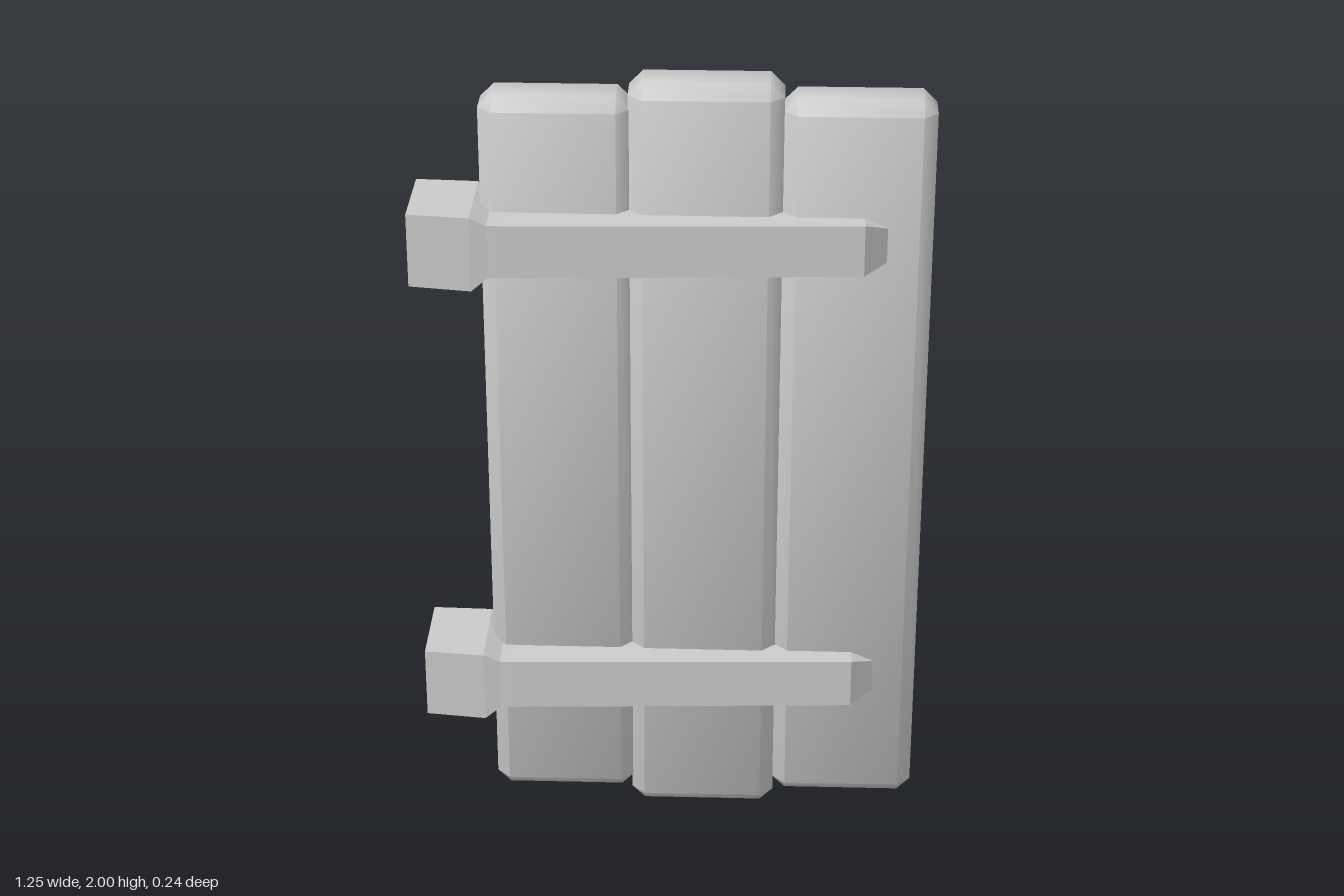
import * as THREE from 'three';
import { toCreasedNormals } from 'three/addons/utils/BufferGeometryUtils.js';
import { ConvexGeometry } from 'three/addons/geometries/ConvexGeometry.js';

// Box with 45 degree chamfers on every edge, given by its min and max corners
function chamferedBox(min, max, c) {
  const points = [];
  for (let corner = 0; corner < 8; corner++) {
    for (let face = 0; face < 3; face++) {
      const p = [0, 1, 2].map((axis) => {
        const inset = axis === face ? 0 : c;
        return (corner >> axis) & 1 ? max[axis] - inset : min[axis] + inset;
      });
      points.push(new THREE.Vector3(...p));
    }
  }
  return toCreasedNormals(new ConvexGeometry(points), 0.9);
}

// Loft along x through rectangles [x, yLow, yHigh, zBack, zFront]
function loftX(sections) {
  const positions = [];
  const index = [];
  const n = sections.length;
  for (const [x, y0, y1, z0, z1] of sections) {
    positions.push(x, y0, z1, x, y1, z1, x, y1, z0, x, y0, z0);
  }
  for (let i = 0; i < n - 1; i++) {
    for (let k = 0; k < 4; k++) {
      const a = i * 4 + k, b = i * 4 + ((k + 1) % 4);
      index.push(a, a + 4, b + 4, a, b + 4, b);
    }
  }
  const e = (n - 1) * 4;
  index.push(0, 1, 2, 0, 2, 3, e, e + 2, e + 1, e, e + 3, e + 2);
  const indexed = new THREE.BufferGeometry();
  indexed.setAttribute('position', new THREE.Float32BufferAttribute(positions, 3));
  indexed.setIndex(index);
  const geometry = indexed.toNonIndexed();
  geometry.computeVertexNormals();
  return geometry;
}

export function createModel() {
  const model = new THREE.Group();
  model.name = 'shutter';
  const grey = new THREE.MeshStandardMaterial({ color: 0xcccccc });
  grey.name = 'plain grey';

  const add = (name, geometry, y = 0) => {
    const mesh = new THREE.Mesh(geometry, grey);
    mesh.name = name;
    mesh.position.y = y;
    model.add(mesh);
  };

  // Three upright boards, the middle one longer and thicker
  add('rightPlank', chamferedBox([-0.46, 0.04, -0.118], [-0.098, 1.965, 0.028], 0.034));
  add('middlePlank', chamferedBox([-0.105, 0, -0.124], [0.265, 2, 0.03], 0.034));
  add('leftPlank', chamferedBox([0.262, 0.04, -0.118], [0.625, 1.965, 0.028], 0.034));

  // Hinge: square knuckle narrowing to a tapering strap across the boards
  const hinge = loftX([
    [-0.625, -0.095, 0.09, -0.112, 0.112],
    [-0.475, -0.103, 0.085, -0.116, 0.118],
    [-0.435, -0.07, 0.065, -0.105, 0.114],
    [-0.4, -0.07, 0.064, 0, 0.113],
    [0.46, -0.068, 0.062, 0, 0.076],
    [0.515, -0.05, 0.038, 0, 0.03],
  ]);
  add('upperHinge', hinge, 1.615);
  add('lowerHinge', hinge, 0.415);

  return model;
}
